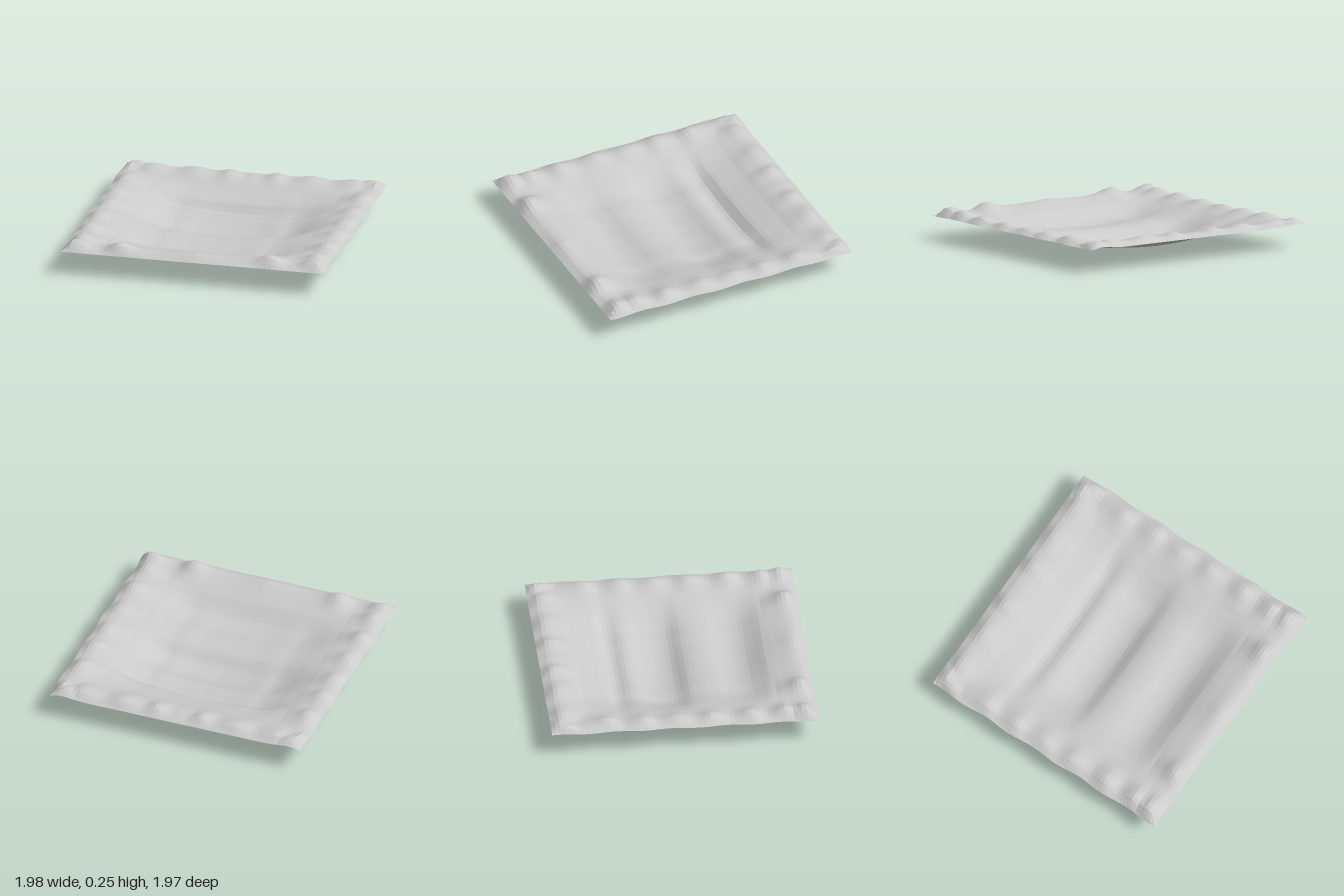
import * as THREE from 'three';

// Smooth curve through [position, value] pairs
function curve(points) {
  const slope = (i) => {
    const a = points[Math.max(i - 1, 0)], b = points[Math.min(i + 1, points.length - 1)];
    return (b[1] - a[1]) / (b[0] - a[0]);
  };
  return (t) => {
    const last = points.length - 1;
    if (t <= points[0][0]) return points[0][1];
    if (t >= points[last][0]) return points[last][1];
    let i = 0;
    while (points[i + 1][0] < t) i++;
    const [x0, y0] = points[i], [x1, y1] = points[i + 1];
    const h = x1 - x0, s = (t - x0) / h, s2 = s * s, s3 = s2 * s;
    return (2 * s3 - 3 * s2 + 1) * y0 + (s3 - 2 * s2 + s) * h * slope(i)
      + (3 * s2 - 2 * s3) * y1 + (s3 - s2) * h * slope(i + 1);
  };
}

const BASE = 0.18;

// Sagging centre: height along z, and how the sag fades towards the sides
const floorLine = curve([
  [-0.85, 0.18], [-0.78, 0.172], [-0.7, 0.147], [-0.6, 0.115], [-0.53, 0.09], [-0.47, 0.044],
  [-0.42, 0.038], [-0.35, 0.055], [-0.29, 0.05], [-0.2, 0.018], [-0.1, 0.001], [0, 0.015],
  [0.1, 0.07], [0.2, 0.09], [0.3, 0.085], [0.38, 0.067], [0.47, 0.06], [0.55, 0.075],
  [0.62, 0.11], [0.7, 0.155], [0.8, 0.175], [0.88, 0.18],
]);
const sagAcross = curve([
  [0, 1], [0.2, 0.95], [0.35, 0.84], [0.45, 0.79], [0.55, 0.6], [0.65, 0.34], [0.75, 0.13], [0.88, 0],
]);

// Crest heights of the rumpled hem along each side
const sideHem = curve([
  [-1, 0.195], [-0.94, 0.22], [-0.82, 0.19], [-0.7, 0.2], [-0.57, 0.22], [-0.46, 0.187],
  [-0.3, 0.215], [-0.2, 0.19], [-0.06, 0.21], [0.08, 0.19], [0.2, 0.215], [0.36, 0.19],
  [0.5, 0.225], [0.62, 0.192], [0.75, 0.232], [0.82, 0.215], [0.9, 0.238], [1, 0.18],
]);
const frontHem = curve([
  [0, 0.213], [0.15, 0.203], [0.3, 0.198], [0.45, 0.208], [0.58, 0.245], [0.7, 0.195], [0.8, 0.2], [0.93, 0.235], [1, 0.18],
]);
const backHem = curve([
  [0, 0.195], [0.08, 0.193], [0.18, 0.218], [0.28, 0.195], [0.45, 0.217], [0.6, 0.195], [0.77, 0.218], [0.87, 0.2], [0.95, 0.215], [1, 0.18],
]);
// Cross-section of the hem, by distance from the edge
const hemShape = curve([[0, -0.02], [0.03, 0.45], [0.08, 1], [0.13, 0.95], [0.2, 0.4], [0.28, 0]]);

function height(x, z) {
  const ax = Math.abs(x);
  const sag = (BASE - floorLine(z)) * sagAcross(ax);
  const hem = Math.max(
    hemShape(1 - ax) * (sideHem(z) - BASE),
    hemShape(1 - z) * (frontHem(ax) - BASE),
    hemShape(1 + z) * (backHem(ax) - BASE),
  );
  // Edges droop slightly below the hem, most of all at the front
  const edge = Math.max(ax, Math.abs(z));
  const droop = 0.008 * THREE.MathUtils.smoothstep(edge, 0.93, 1);
  return BASE - sag + hem - droop;
}

export function createModel() {
  const group = new THREE.Group();
  group.name = 'blanket';

  // Rumpled sheet, mirrored about x
  const geometry = new THREE.PlaneGeometry(2, 2, 64, 64).rotateX(-Math.PI / 2);
  const p = geometry.attributes.position;
  for (let i = 0; i < p.count; i++) {
    const x = p.getX(i), z = p.getZ(i);
    const wobble = 0.007 * Math.sin(z * 15) * Math.pow(Math.abs(x), 8);
    p.setXYZ(i, x * 0.985 + Math.sign(x) * wobble, height(x, z), z * 0.983);
  }
  geometry.computeVertexNormals();

  const sheet = new THREE.Mesh(geometry, new THREE.MeshStandardMaterial({
    color: 0xcccccc, flatShading: true, side: THREE.DoubleSide,
  }));
  sheet.name = 'sheet';
  group.add(sheet);
  return group;
}
